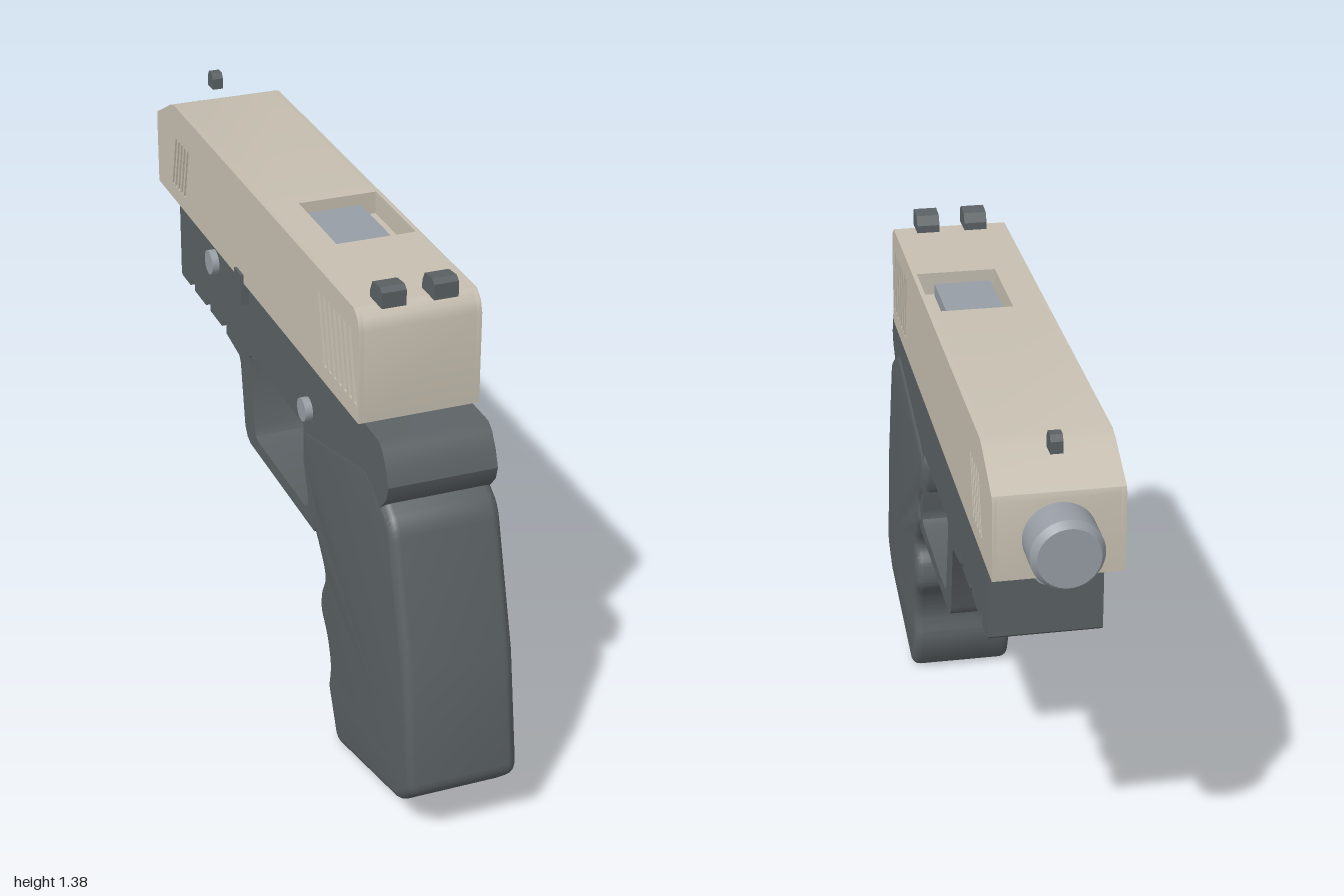
import * as THREE from 'three';
import { toCreasedNormals } from 'three/addons/utils/BufferGeometryUtils.js';

const slideMat = new THREE.MeshStandardMaterial({ color: 0xc5beb0 });
slideMat.name = 'sand';
const frameMat = new THREE.MeshStandardMaterial({ color: 0x5a6063 });
frameMat.name = 'charcoal';
const metalMat = new THREE.MeshStandardMaterial({ color: 0x979da4 });
metalMat.name = 'steel';

const outline = (pts) => new THREE.Shape(pts.map(([z, y]) => new THREE.Vector2(z, y)));

// Extrudes a (z, y) side profile across x, from x0 to x1
function profile(shape, x0, x1, opts = {}) {
  const bevel = opts.bevel || 0;
  const depth = x1 - x0 - 2 * bevel;
  let geo = new THREE.ExtrudeGeometry(shape, {
    depth, curveSegments: 10, steps: 1,
    bevelEnabled: bevel > 0, bevelSize: bevel, bevelThickness: bevel, bevelOffset: -bevel, bevelSegments: 4,
  });
  geo.translate(0, 0, -depth / 2);
  geo.rotateY(-Math.PI / 2);
  geo.translate((x0 + x1) / 2, 0, 0);
  if (opts.crease) geo = toCreasedNormals(geo, opts.crease);
  return geo;
}

export function createModel() {
  const model = new THREE.Group();
  const add = (name, geo, mat, parent = model) => {
    const m = new THREE.Mesh(geo, mat);
    m.name = name;
    parent.add(m);
    return m;
  };
  const box = (name, mat, x0, x1, y0, y1, z0, z1, parent) => {
    const g = new THREE.BoxGeometry(x1 - x0, y1 - y0, z1 - z0);
    g.translate((x0 + x1) / 2, (y0 + y1) / 2, (z0 + z1) / 2);
    return add(name, g, mat, parent);
  };

  // Slide: core with a port notch, closed by grooved side plates
  const slide = new THREE.Group();
  slide.name = 'slide';
  model.add(slide);
  const rear = [[0.675, 1.04], [0.675, 1.28], [0.665, 1.31], [0.64, 1.33]];
  const front = [[-0.73, 1.33], [-0.76, 1.32], [-0.885, 1.255], [-0.89, 1.24], [-0.89, 1.04]];
  const notch = [[0.295, 1.33], [0.295, 1.27], [0.03, 1.27], [0.03, 1.33]];
  add('slideCore', profile(outline([...rear, ...notch, ...front]), -0.143, 0.145, { crease: 0.6 }), slideMat, slide);
  box('portLeftWall', slideMat, -0.143, -0.065, 1.27, 1.33, 0.03, 0.295, slide);

  const side = outline([...rear, ...front]);
  const groove = (zLow, zHigh, y0, y1, w) =>
    side.holes.push(outline([[zLow, y0], [zLow - w, y0], [zHigh - w, y1], [zHigh, y1]]));
  for (let i = 0; i < 7; i++) groove(0.665 - i * 0.0335, 0.622 - i * 0.0335, 1.085, 1.27, 0.018);
  for (let i = 0; i < 5; i++) groove(-0.642 - i * 0.026, -0.602 - i * 0.026, 1.085, 1.235, 0.014);
  add('slideSideLeft', profile(side, 0.145, 0.157, { crease: 0.6 }), slideMat, slide);
  add('slideSideRight', profile(side, -0.155, -0.143, { crease: 0.6 }), slideMat, slide);

  // Chamber seen in the port
  box('chamber', metalMat, -0.05, 0.1, 1.2, 1.305, 0.04, 0.28);

  // Barrel with a chamfered end, and guide rod below it
  const barrel = new THREE.LatheGeometry(
    [[0.088, 0], [0.088, 0.09], [0.075, 0.11], [0, 0.11]].map(([r, h]) => new THREE.Vector2(r, h)), 40);
  barrel.rotateX(-Math.PI / 2);
  barrel.translate(0, 1.143, -0.89);
  add('barrel', toCreasedNormals(barrel, 0.5), metalMat);
  const rod = new THREE.CylinderGeometry(0.04, 0.04, 0.06, 24);
  rod.rotateX(Math.PI / 2);
  rod.translate(0, 1.0, -0.755);
  add('guideRod', rod, metalMat);

  // Frame with rail notches and guard opening
  const framePts = [[0.767, 1.04], [0.79, 1.025], [0.815, 0.985], [0.83, 0.945], [0.82, 0.91], [0.78, 0.865],
    [0.6, 0.8], [0.42, 0.7], [0.34, 0.55], [-0.155, 0.55], [-0.18, 0.56], [-0.198, 0.585],
    [-0.228, 0.765], [-0.24, 0.782], [-0.345, 0.797]];
  for (const z of [-0.345, -0.485, -0.625]) {
    framePts.push([z, 0.803], [z, 0.827], [z - 0.04, 0.827], [z - 0.04, 0.803]);
  }
  framePts.push([-0.738, 0.803], [-0.745, 0.81], [-0.745, 1.04]);
  const frameShape = outline(framePts);
  frameShape.holes.push(outline([[0.26, 0.825], [-0.145, 0.825], [-0.157, 0.815], [-0.157, 0.79], [-0.122, 0.62],
    [-0.11, 0.597], [-0.09, 0.588], [0.27, 0.588], [0.29, 0.6], [0.295, 0.625], [0.26, 0.72]]));
  add('frame', profile(frameShape, -0.14, 0.14, { crease: 0.6 }), frameMat);

  // Grip with finger waves and rounded edges
  const grip = new THREE.Shape();
  grip.moveTo(0.69, 0.932);
  grip.lineTo(0.72, 0.922);
  grip.lineTo(0.82, 0.865);
  grip.quadraticCurveTo(0.845, 0.845, 0.855, 0.81);
  grip.lineTo(0.95, 0.5);
  grip.lineTo(1.0, 0.2);
  grip.quadraticCurveTo(1.0, 0.175, 0.985, 0.16);
  grip.lineTo(0.935, 0.115);
  grip.quadraticCurveTo(0.92, 0.102, 0.9, 0.096);
  grip.lineTo(0.53, 0.003);
  grip.quadraticCurveTo(0.5, 0, 0.485, 0.025);
  grip.lineTo(0.432, 0.14);
  grip.splineThru([[0.443, 0.21], [0.42, 0.28], [0.378, 0.34], [0.38, 0.4], [0.403, 0.46], [0.362, 0.52],
    [0.315, 0.575], [0.325, 0.63], [0.265, 0.7], [0.246, 0.77], [0.255, 0.815]].map(([z, y]) => new THREE.Vector2(z, y)));
  grip.lineTo(0.285, 0.832);
  grip.lineTo(0.67, 0.932);
  add('grip', profile(grip, -0.141, 0.146, { bevel: 0.025, crease: 0.7 }), frameMat);

  // Trigger
  const trigger = outline([[0.255, 0.83], [0.23, 0.83], [0.228, 0.72], [0.215, 0.68], [0.185, 0.63],
    [0.205, 0.608], [0.24, 0.64], [0.256, 0.7]]);
  add('trigger', profile(trigger, -0.025, 0.025, { crease: 0.6 }), metalMat);

  // Sights
  for (const s of [-1, 1]) {
    const x = s * 0.066;
    const rearSight = outline([[0.67, 1.33], [0.67, 1.37], [0.655, 1.38], [0.61, 1.375], [0.597, 1.35], [0.597, 1.33]]);
    add('rearSight', profile(rearSight, x - 0.031, x + 0.031), frameMat);
  }
  const frontSight = outline([[-0.802, 1.33], [-0.802, 1.36], [-0.812, 1.375], [-0.836, 1.375], [-0.845, 1.36], [-0.845, 1.33]]);
  add('frontSight', profile(frontSight, -0.015, 0.015), frameMat);

  // Controls on the right side
  for (const [name, y, z, r] of [['takedownPin', 0.98, -0.43, 0.034], ['releaseButton', 0.89, 0.3, 0.031]]) {
    const g = new THREE.CylinderGeometry(r, r, 0.03, 24);
    g.rotateZ(Math.PI / 2);
    g.translate(-0.145, y, z);
    add(name, g, metalMat);
  }
  box('slideCatch', frameMat, -0.163, -0.135, 0.975, 1.065, -0.205, -0.15);

  return model;
}
